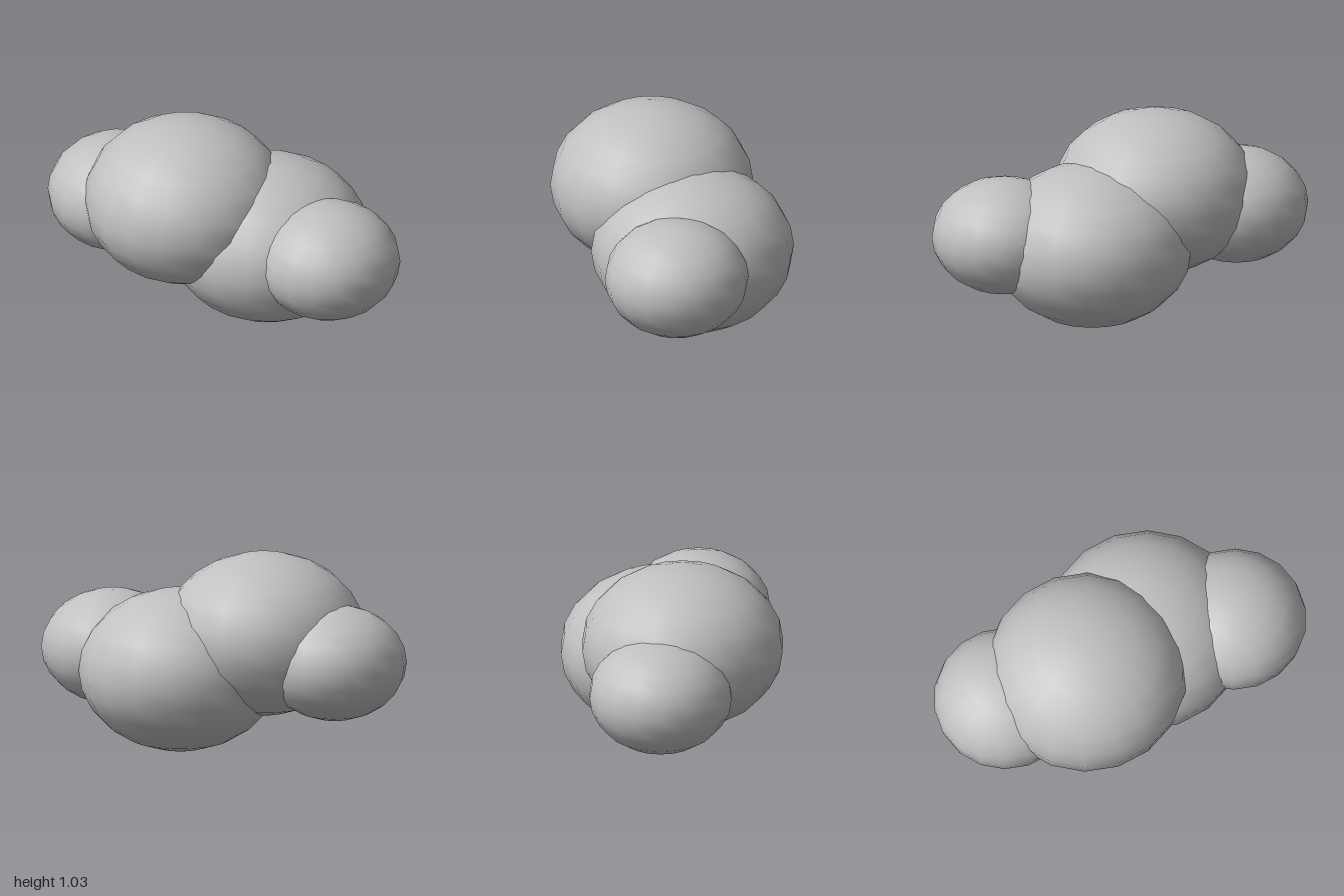
import * as THREE from 'three';

export function createModel() {
  const model = new THREE.Group();
  const grey = new THREE.MeshStandardMaterial({ color: 0xc0c0c0 });
  grey.name = 'grey';

  // Every lobe is the same flattened sphere, scaled and placed
  const geometry = new THREE.SphereGeometry(1, 18, 12);
  const flatness = 0.8;

  function addLobe(name, radius, x, y, z) {
    const lobe = new THREE.Mesh(geometry, grey);
    lobe.name = name;
    lobe.scale.set(radius, radius * flatness, radius);
    lobe.position.set(x, y, z);
    model.add(lobe);
  }

  // Two large overlapping lobes in the middle
  addLobe('upperLargeLobe', 0.526, -0.21, 0.615, 0.057);
  addLobe('lowerLargeLobe', 0.526, 0.208, 0.422, -0.057);

  // A small lobe at each end
  addLobe('leftSmallLobe', 0.373, 0.626, 0.478, 0.132);
  addLobe('rightSmallLobe', 0.373, -0.627, 0.51, -0.053);

  return model;
}
